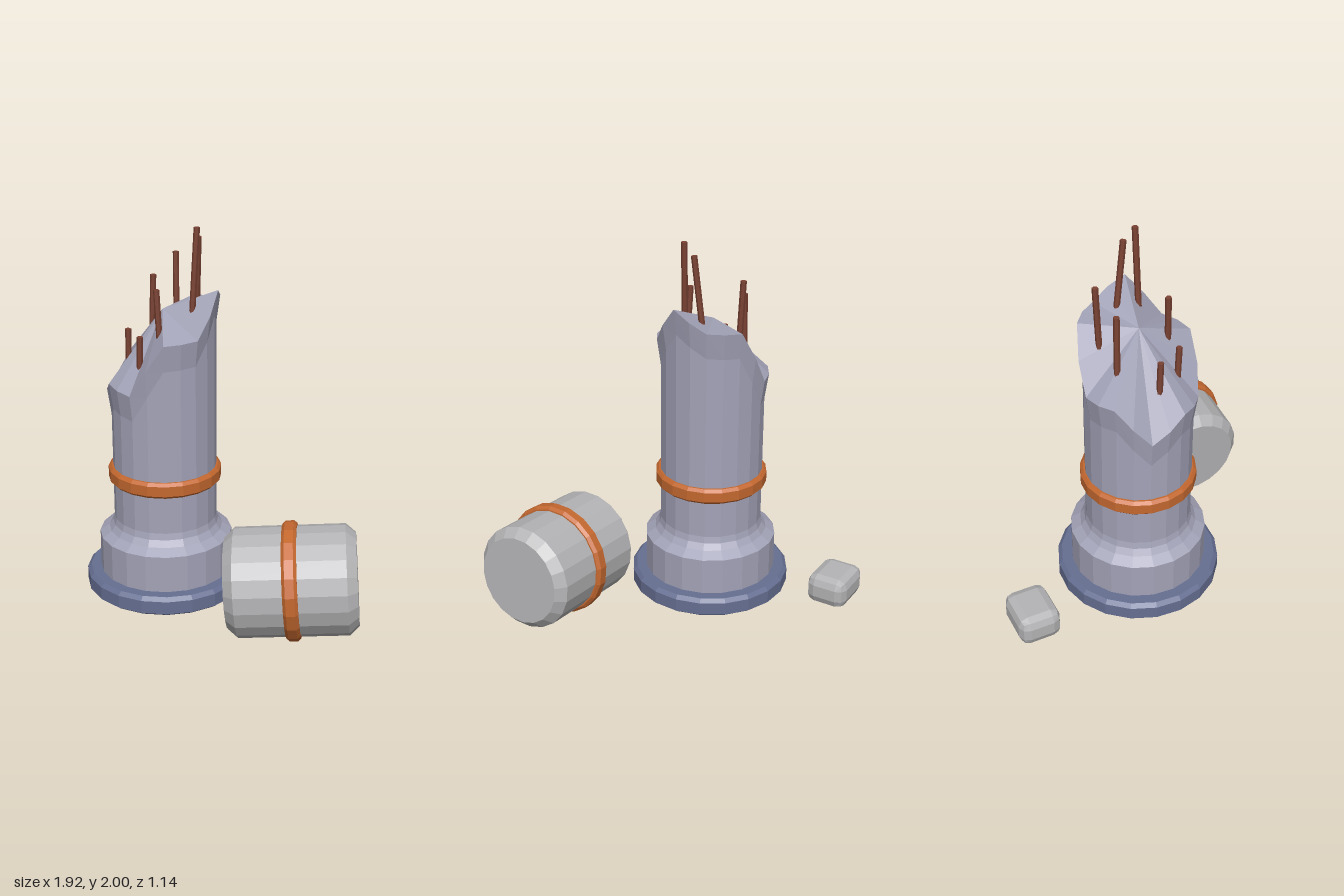
import * as THREE from 'three';
import { RoundedBoxGeometry } from 'three/addons/geometries/RoundedBoxGeometry.js';

const SIDES = 20;
const mat = (color) => new THREE.MeshStandardMaterial({ color, flatShading: true });
const stone = mat(0xa3a3b8), plinth = mat(0x666f92), steel = mat(0xb4b4b6);
const copper = mat(0xc4682f), wire = mat(0x7a4233);

function add(parent, name, geometry, material) {
  const mesh = new THREE.Mesh(geometry, material);
  mesh.name = name;
  parent.add(mesh);
  return mesh;
}

// Profile of [radius, height] pairs, listed from bottom to top
const lathe = (points) =>
  new THREE.LatheGeometry(points.map(([r, y]) => new THREE.Vector2(r, y)), SIDES);

// Rounded band: closed profile around the y axis
function band(inner, outer, height) {
  const h = height / 2, b = 0.015;
  return lathe([[inner, -h], [outer - b, -h], [outer, -h + b], [outer, h - b], [outer - b, h], [inner, h]]);
}

// Broken shaft: straight wall, slightly flared torn rim, faceted fracture surface
function brokenShaft() {
  const heights = [1.17, 1.45, 1.46, 1.68, 1.58, 1.57, 1.26, 1.27, 1.07, 1.19];
  const rim = (i) => {
    const k = Math.floor(i / 2) % 10;
    return i % 2 ? (heights[k] + heights[(k + 1) % 10]) / 2 : heights[k];
  };
  const rows = [
    () => [0.275, 0.6],
    (i) => [0.275, rim(i) - 0.14],
    (i) => [0.295, rim(i)],
    () => [0, 1.56],
  ];
  const pos = [], index = [];
  for (const row of rows) {
    for (let i = 0; i < SIDES; i++) {
      const a = (i / SIDES) * Math.PI * 2, [r, y] = row(i);
      pos.push(r * Math.sin(a), y, r * Math.cos(a));
    }
  }
  for (let j = 0; j < rows.length - 1; j++) {
    for (let i = 0; i < SIDES; i++) {
      const n = (i + 1) % SIDES;
      const a = j * SIDES + i, b = j * SIDES + n, c = a + SIDES, d = b + SIDES;
      index.push(a, b, c);
      if (j < rows.length - 2) index.push(b, d, c);
    }
  }
  const g = new THREE.BufferGeometry();
  g.setAttribute('position', new THREE.Float32BufferAttribute(pos, 3));
  g.setIndex(index);
  g.computeVertexNormals();
  return g;
}

// Thin rod between two points
function addRod(parent, from, to) {
  const a = new THREE.Vector3(...from), b = new THREE.Vector3(...to);
  const dir = b.clone().sub(a);
  const rod = add(parent, 'wire', new THREE.CylinderGeometry(0.016, 0.016, dir.length(), 6), wire);
  rod.position.copy(a).add(b).multiplyScalar(0.5);
  rod.quaternion.setFromUnitVectors(new THREE.Vector3(0, 1, 0), dir.normalize());
}

export function createModel() {
  const model = new THREE.Group();
  model.name = 'brokenColumn';

  // Standing column
  const column = new THREE.Group();
  column.name = 'column';
  column.position.set(-0.305, 0, 0.07);
  model.add(column);
  add(column, 'basePlate', lathe([[0, 0.015], [0.41, 0.015], [0.43, 0.03], [0.43, 0.1], [0.41, 0.12], [0, 0.12]]), plinth);
  add(column, 'collar', lathe([[0.355, 0.11], [0.355, 0.32], [0.305, 0.352], [0.283, 0.385], [0.275, 0.42], [0.275, 0.64]]), stone);
  add(column, 'shaft', brokenShaft(), stone);
  add(column, 'columnBand', band(0.26, 0.3, 0.085), copper).position.y = 0.668;

  // Exposed wires standing out of the fracture
  const wires = new THREE.Group();
  wires.name = 'wires';
  model.add(wires);
  [
    [[-0.35, 1.45, -0.115], [-0.36, 1.81, -0.13]],
    [[-0.445, 1.28, -0.02], [-0.43, 1.7, -0.025]],
    [[-0.18, 1.5, -0.055], [-0.14, 1.94, -0.018]],
    [[-0.135, 1.45, 0.06], [-0.113, 2.0, 0.035]],
    [[-0.225, 1.4, 0.205], [-0.243, 1.7, 0.205]],
    [[-0.314, 1.28, 0.26], [-0.305, 1.46, 0.265]],
    [[-0.445, 1.2, 0.18], [-0.44, 1.46, 0.185]],
  ].forEach(([from, to]) => addRod(wires, from, to));

  // Fallen drum with its band
  const drum = new THREE.Group();
  drum.name = 'fallenDrum';
  drum.position.set(0.56, 0.307, 0.185);
  drum.quaternion.setFromUnitVectors(
    new THREE.Vector3(0, 1, 0), new THREE.Vector3(0.87, 0.075, -0.48).normalize());
  model.add(drum);
  add(drum, 'drumBody', lathe([[0, -0.33], [0.235, -0.33], [0.28, -0.28], [0.28, 0.28], [0.235, 0.33], [0, 0.33]]), steel);
  add(drum, 'drumBand', band(0.265, 0.303, 0.075), copper);

  // Loose chunk behind the column
  const chunk = add(model, 'looseChunk', new RoundedBoxGeometry(0.27, 0.165, 0.225, 1, 0.05), steel);
  chunk.position.set(-0.807, 0.097, -0.428);
  chunk.rotation.y = 0.54;

  return model;
}
